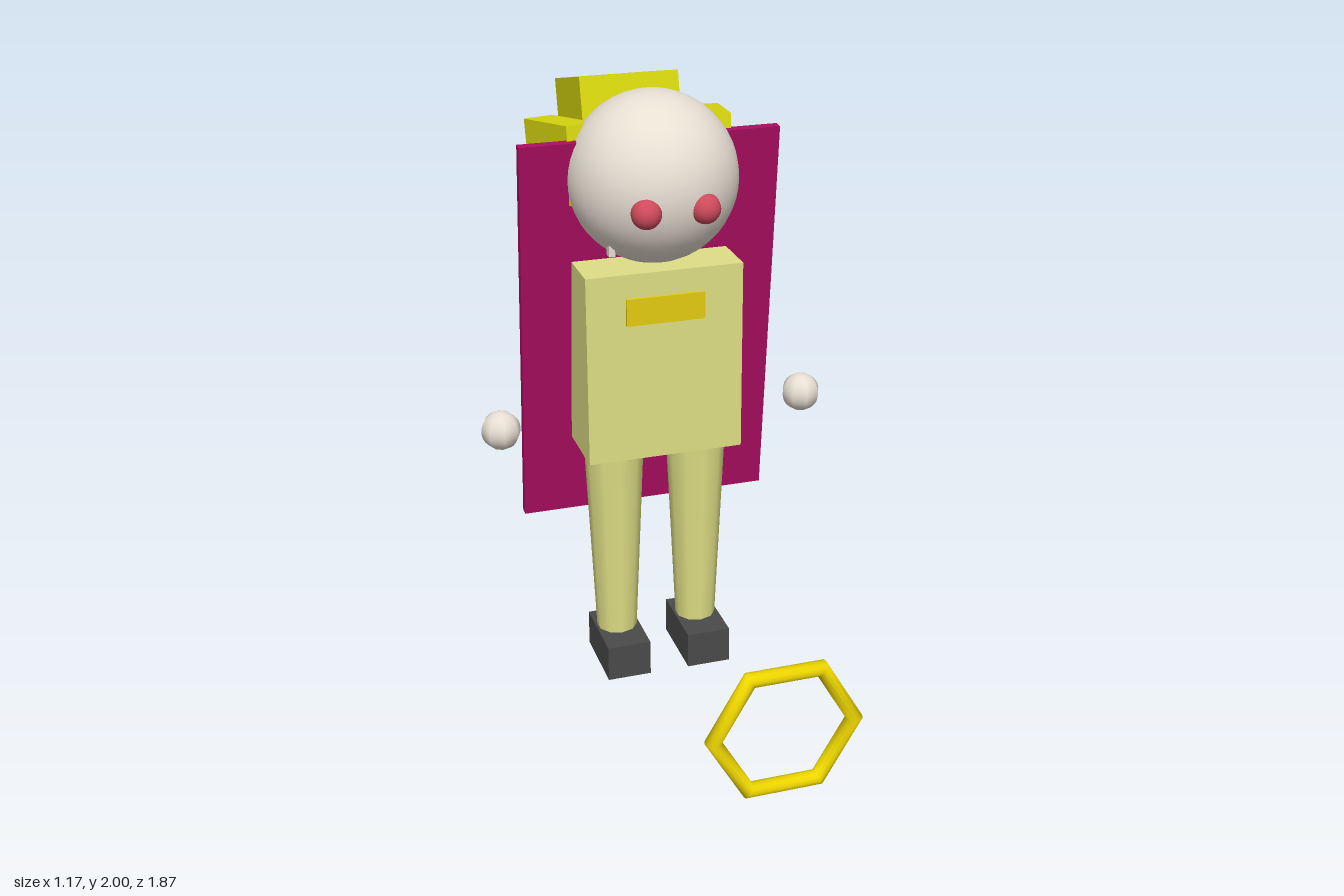
import * as THREE from 'three';

const mat = (color) => new THREE.MeshStandardMaterial({ color });

export function createModel() {
  const model = new THREE.Group();
  const skin = mat(0xe8dfd3), cloth = mat(0xdede85), gold = mat(0xe3cc10);
  const hair = mat(0xd9d90f), dark = mat(0x4a4a4a), red = mat(0xcf4a5c);
  const ringGold = mat(0xf0d800), capeRed = mat(0xa80d60);
  const axis = -0.348; // depth of the body's centre line

  const add = (name, geometry, material, x, y, z) => {
    const mesh = new THREE.Mesh(geometry, material);
    mesh.name = name;
    mesh.position.set(x, y, z);
    model.add(mesh);
    return mesh;
  };
  const box = (w, h, d) => new THREE.BoxGeometry(w, h, d);

  // Head and the small corner of the mouth
  add('head', new THREE.SphereGeometry(0.273, 32, 24), skin, 0, 1.727, axis);
  add('mouthCorner', box(0.02, 0.05, 0.03), skin, -0.165, 1.535, -0.255);

  // Torso with a badge bar showing on chest and back
  add('torso', box(0.52, 0.64, 0.264), cloth, 0, 1.135, axis);
  add('badge', box(0.26, 0.09, 0.283), gold, 0, 1.33, axis);

  // Cape leaning back through the torso
  add('cape', box(0.85, 1.325, 0.03), capeRed, 0, 1.193, -0.43).rotation.x = 0.1;

  // Swept-back hair: one crown block and two side blocks
  add('crownHair', box(0.33, 0.162, 0.338), hair, 0, 1.876, -0.749).rotation.x = -0.235;

  for (const [side, s] of [['right', -1], ['left', 1]]) {
    const lock = add(side + 'Hair', box(0.1, 0.25, 0.32), hair, s * 0.247, 1.752, -0.522);
    lock.rotation.set(-0.15, s * -0.2, 0, 'YXZ');
    add(side + 'Eye', new THREE.SphereGeometry(0.048, 16, 16), red, s * 0.094, 1.685, -0.1);
    add(side + 'Hand', new THREE.SphereGeometry(0.065, 8, 16), skin, s * 0.521, 0.92, axis);
    add(side + 'Leg', new THREE.CylinderGeometry(0.1, 0.069, 0.695, 10), cloth, s * 0.143, 0.47, axis);
    add(side + 'Boot', box(0.15, 0.125, 0.26), dark, s * 0.143, 0.0625, -0.32);
  }

  // Six-sided ring floating in front
  add('ring', new THREE.TorusGeometry(0.212, 0.025, 12, 6), ringGold, 0, 0.469, 0.91);

  return model;
}
